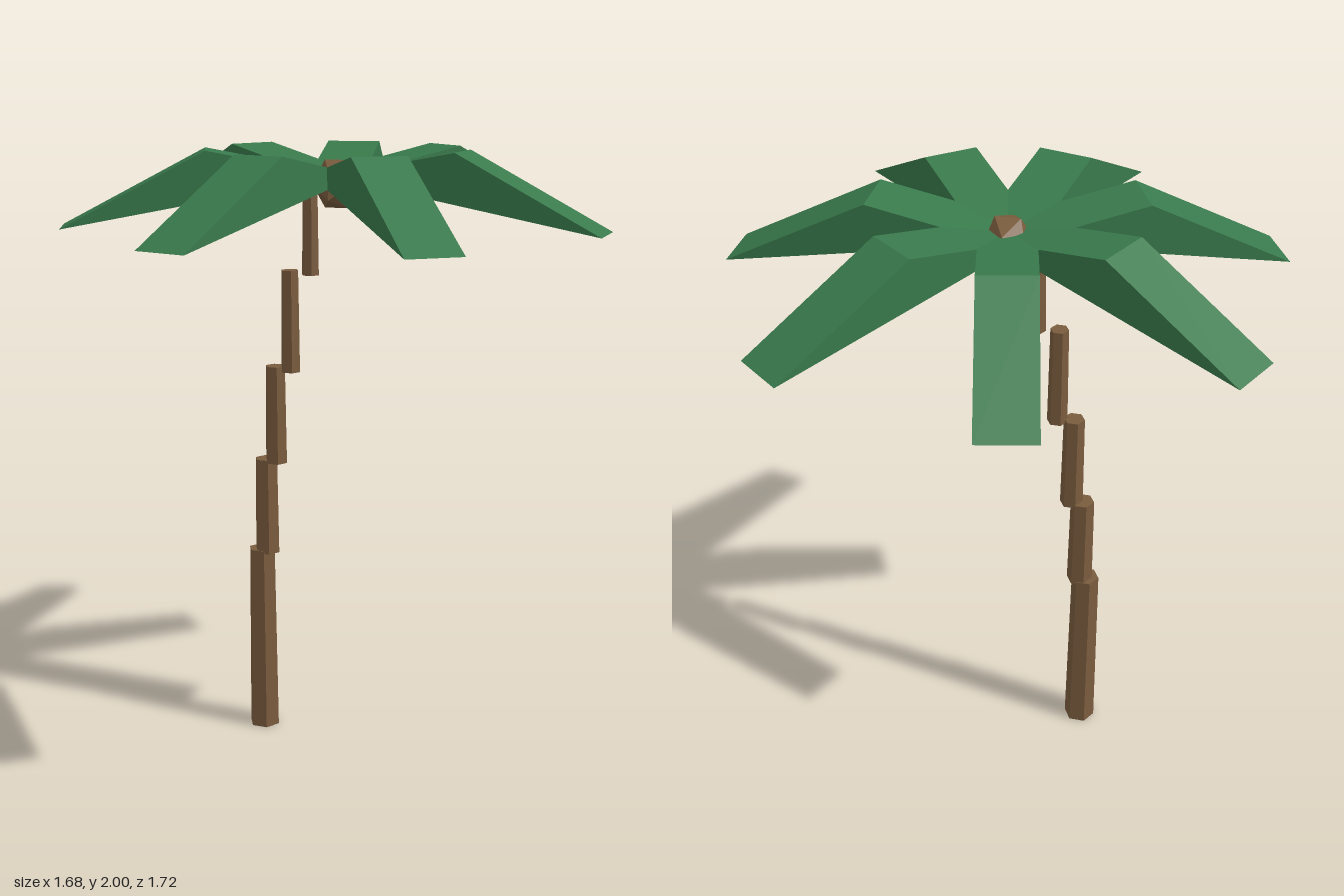
import * as THREE from 'three';

const CROWN_X = -0.027;

export function createModel() {
  const palm = new THREE.Group();
  palm.name = 'palmTree';

  const bark = new THREE.MeshStandardMaterial({ color: 0x7a5c3e, flatShading: true });
  bark.name = 'barkBrown';
  const green = new THREE.MeshStandardMaterial({ color: 0x397a4c, flatShading: true });
  green.name = 'leafGreen';

  // Trunk: stepped six-sided segments [x, bottom y, top y, bottom radius, top radius]
  const trunk = new THREE.Group();
  trunk.name = 'trunk';
  const segments = [
    [-0.302, 0, 0.65, 0.053, 0.046],
    [-0.282, 0.64, 0.97, 0.043, 0.039],
    [-0.245, 0.96, 1.29, 0.038, 0.034],
    [-0.19, 1.275, 1.61, 0.033, 0.029],
    [-0.118, 1.598, 1.92, 0.029, 0.025],
  ];
  segments.forEach(([x, y0, y1, r0, r1], i) => {
    const geometry = new THREE.CylinderGeometry(r1, r0, y1 - y0, 6);
    geometry.rotateY(Math.PI / 6); // corners point along x
    const segment = new THREE.Mesh(geometry, bark);
    segment.name = `trunkSegment${i + 1}`;
    segment.position.set(x, (y0 + y1) / 2, 0);
    trunk.add(segment);
  });
  palm.add(trunk);

  // Fronds: triangular profile rising to a fold, then drooping to the tip
  const profile = new THREE.Shape([
    new THREE.Vector2(0, 1.92),
    new THREE.Vector2(0.862, 1.765),
    new THREE.Vector2(0.41, 2),
  ]);
  const width = 0.174;
  const frondGeometry = new THREE.ExtrudeGeometry(profile, { depth: width, bevelEnabled: false });
  frondGeometry.translate(0, 0, -width / 2);
  const crown = new THREE.Group();
  crown.name = 'crown';
  crown.position.x = CROWN_X;
  const count = 7;
  for (let i = 0; i < count; i++) {
    const frond = new THREE.Mesh(frondGeometry, green);
    frond.name = `frond${i + 1}`;
    frond.rotation.y = (i * Math.PI * 2) / count;
    crown.add(frond);
  }

  // Faceted nut at the heart of the crown
  const nut = new THREE.Mesh(new THREE.IcosahedronGeometry(0.088, 0), bark);
  nut.name = 'coconut';
  nut.scale.x = 0.86;
  nut.position.y = 1.89;
  crown.add(nut);
  palm.add(crown);

  return palm;
}
